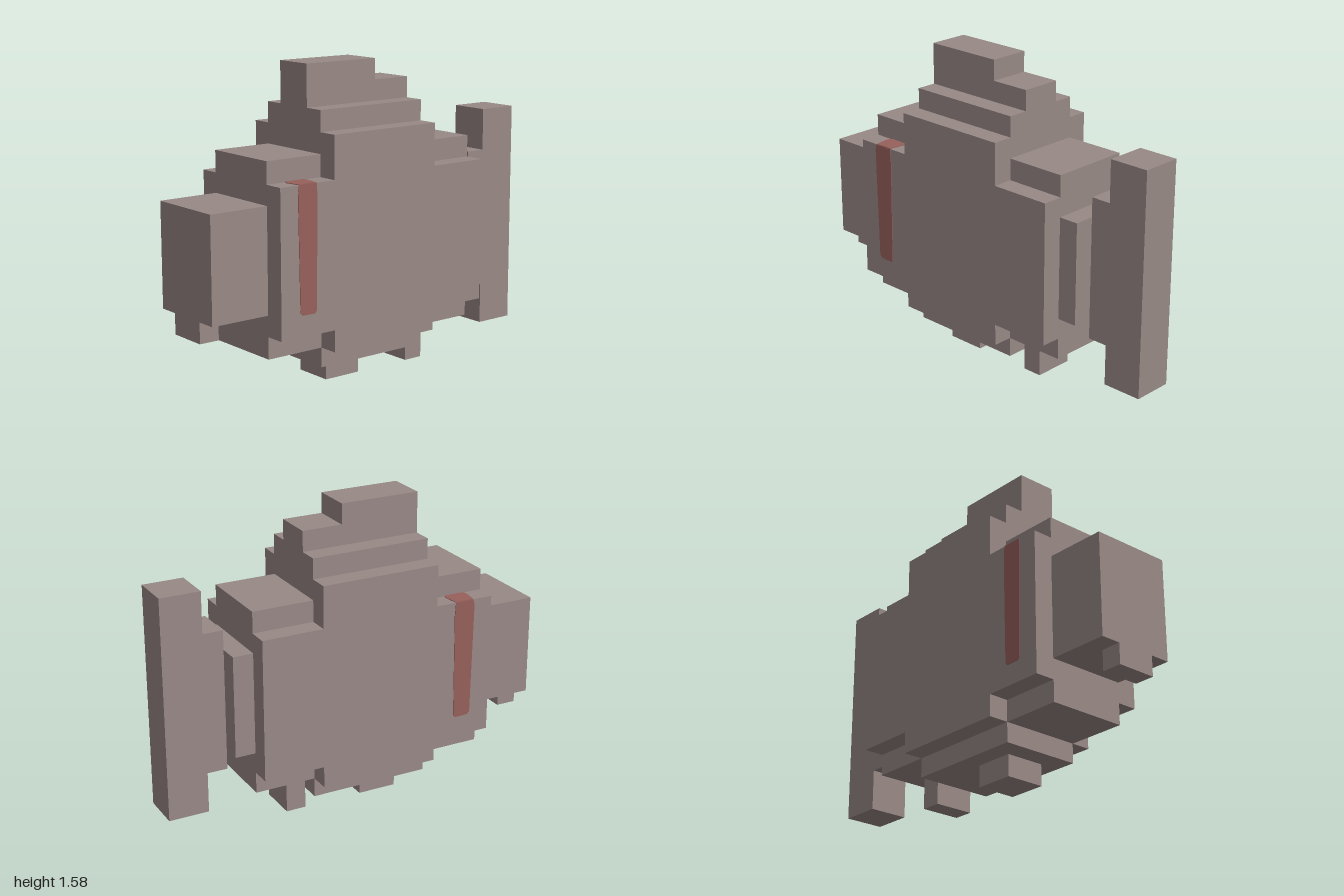
import * as THREE from 'three';

const T = 0.105, M = 0.21, W = 0.315; // half depths: fins, core, flanks

export function createModel() {
  const group = new THREE.Group();
  group.name = 'blockFish';
  const bodyMat = new THREE.MeshStandardMaterial({ color: 0x988986 });
  bodyMat.name = 'greyBrown';
  const stripeMat = new THREE.MeshStandardMaterial({ color: 0x97605b });
  stripeMat.name = 'dullRed';

  const add = (name, geometry, material) => {
    const mesh = new THREE.Mesh(geometry, material);
    mesh.name = name;
    group.add(mesh);
    return mesh;
  };
  const box = (name, x0, x1, y0, y1, halfDepth) => {
    const m = add(name, new THREE.BoxGeometry(x1 - x0, y1 - y0, halfDepth * 2), bodyMat);
    m.position.set((x0 + x1) / 2, (y0 + y1) / 2, 0);
  };
  const extrude = (points, z0, z1) => {
    const shape = new THREE.Shape(points.map(([x, y]) => new THREE.Vector2(x, y)));
    return new THREE.ExtrudeGeometry(shape, { depth: z1 - z0, bevelEnabled: false }).translate(0, 0, z0);
  };
  // Stepped cross outline: wide middle band with a narrower, taller centre
  const cross = (y0, y1, y2, y3) => [
    [-0.685, y1], [-0.37, y1], [-0.37, y0], [0.26, y0], [0.26, y1], [0.58, y1],
    [0.58, y2], [0.26, y2], [0.26, y3], [-0.37, y3], [-0.37, y2], [-0.685, y2],
  ];

  // Body core and the flank slab on each side
  add('bodyCore', extrude(cross(0.11, 0.21, 1.16, 1.37), -M, M), bodyMat);
  const flank = cross(0.21, 0.32, 1.05, 1.265);
  add('leftFlank', extrude(flank, M, W), bodyMat);
  add('rightFlank', extrude(flank, -W, -M), bodyMat);

  // Head and chin
  box('snout', -1, -0.685, 0.425, 0.95, M);
  box('chin', -1, -0.895, 0.32, 0.425, T);

  // Tail
  box('tailRoot', 0.58, 0.685, 0.425, 0.95, M);
  add('tailFin', extrude([
    [0.685, 0.32], [0.79, 0.32], [0.79, 0.11], [1, 0.11],
    [1, 1.265], [0.79, 1.265], [0.79, 1.05], [0.685, 1.05],
  ], -T, T), bodyMat);

  // Back fin and belly fins
  add('backFin', extrude([
    [-0.37, 1.37], [0.26, 1.37], [0.26, 1.475], [0.05, 1.475], [0.05, 1.58], [-0.37, 1.58],
  ], -T, T), bodyMat);
  box('frontBellyFin', -0.26, -0.055, 0, 0.11, T);
  box('rearBellyFin', 0.26, 0.365, 0, 0.21, T);

  // Gill stripes on both flanks, folding over the top ledge
  const stripe = [
    [-0.575, 0.44], [-0.56, 0.427], [-0.49, 0.425], [-0.48, 0.44],
    [-0.472, 0.98], [-0.477, 1.05], [-0.578, 1.05], [-0.585, 1.02],
  ];
  const ledge = [[-0.577, 0], [-0.477, 0], [-0.468, 0.08], [-0.475, W - M], [-0.58, W - M], [-0.59, 0.08]];
  for (const [side, s] of [['left', 1], ['right', -1]]) {
    add(side + 'GillStripe', extrude(stripe, s * W - 0.003, s * W + 0.003), stripeMat);
    const top = add(side + 'GillStripeTop', extrude(ledge.map(([x, y]) => [x * s, y]), -0.003, 0.003), stripeMat);
    top.rotation.set(-Math.PI / 2, 0, s > 0 ? 0 : Math.PI);
    top.position.set(0, 1.05, s * W);
  }
  return group;
}
